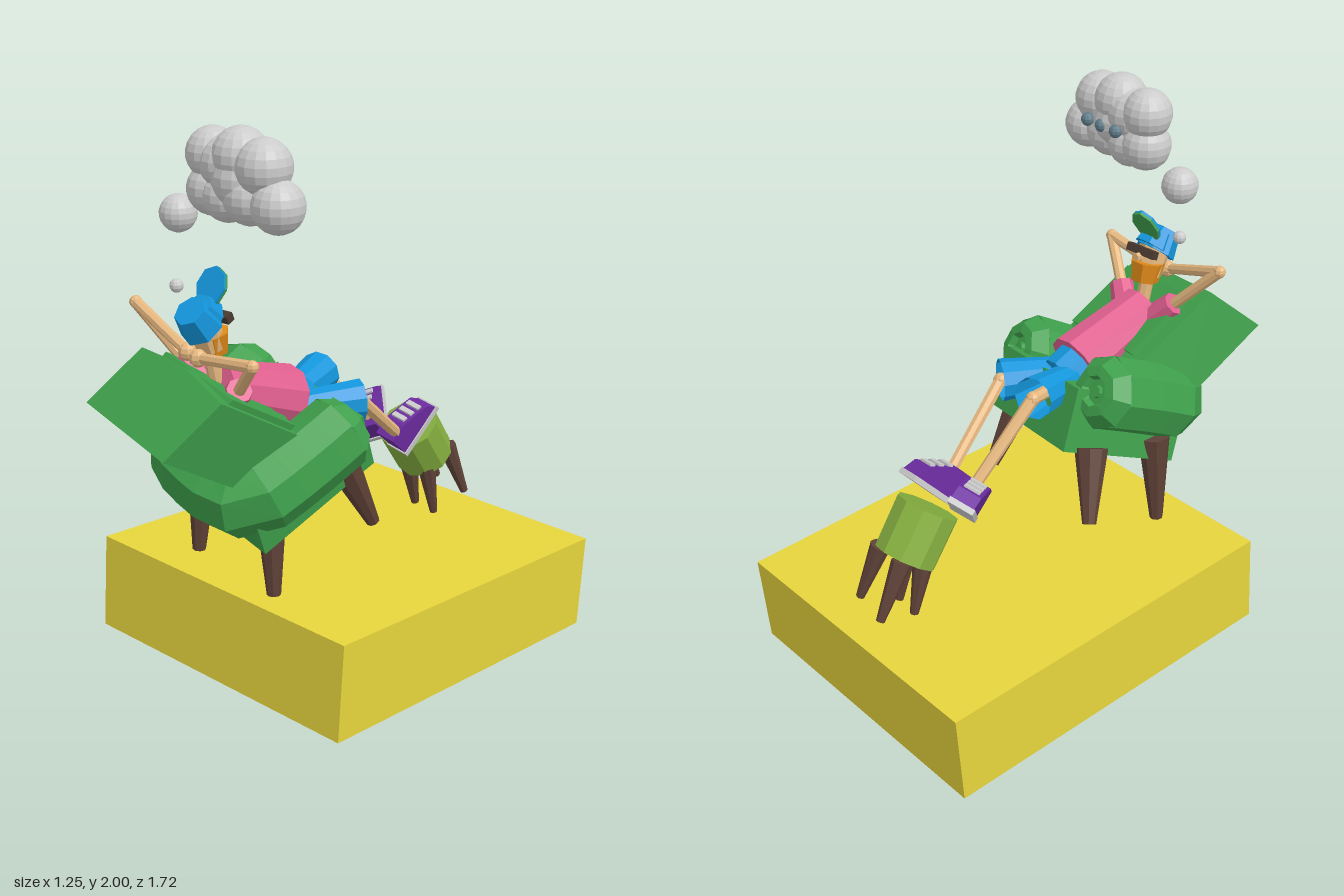
import * as THREE from 'three';

const C = {
  yellow: 0xe6d43c, green: 0x3fa04c, lime: 0x86b040, brown: 0x5f4238, blue: 0x1496dc, pink: 0xe0608f,
  purple: 0x6c2ca0, skin: 0xe6b880, orange: 0xe08a18, grey: 0xcccccc, slate: 0x607d8b, dark: 0x4a3a30,
};
const V = (a) => new THREE.Vector3(...a);

export function createModel() {
  const root = new THREE.Group();

  function add(name, geometry, color, open = false) {
    const material = new THREE.MeshStandardMaterial({ color, flatShading: true });
    if (open) material.side = THREE.DoubleSide;
    const mesh = new THREE.Mesh(geometry, material);
    mesh.name = name;
    root.add(mesh);
    return mesh;
  }

  // Tapered round bar from a to b
  function bar(name, color, a, b, ra, rb, sides = 8, open = false) {
    const p = V(a), d = V(b).sub(p);
    const g = new THREE.CylinderGeometry(rb, ra, d.length(), sides, 1, open);
    const mesh = add(name, g, color, open);
    mesh.position.copy(p).addScaledVector(d, 0.5);
    mesh.quaternion.setFromUnitVectors(new THREE.Vector3(0, 1, 0), d.normalize());
    return mesh;
  }

  // Slanted block given by its centre and three edge vectors
  function block(name, color, c, x, y, z, g = new THREE.BoxGeometry(1, 1, 1)) {
    const m = new THREE.Matrix4().makeBasis(V(x), V(y), V(z)).setPosition(...c);
    return add(name, g.applyMatrix4(m), color);
  }

  function ball(name, color, c, r, n = 16) {
    const mesh = add(name, new THREE.SphereGeometry(r, n, Math.round(n * 0.7)), color);
    mesh.position.set(...c);
    return mesh;
  }

  // Floor block
  block('floorBlock', C.yellow, [0, 0.225, -0.16], [1.13, -0.02, 0.07], [0.003, 0.342, -0.025], [-0.12, 0.08, 1.31]);

  // Armchair legs
  [
    [[-0.27, 0.8, 0.31], [-0.29, 0.45, 0.32]],
    [[0.1, 0.8, 0.39], [0.12, 0.435, 0.4]],
    [[-0.24, 0.86, 0.02], [-0.33, 0.64, -0.08]],
    [[0.2, 0.84, 0.13], [0.23, 0.59, 0]],
  ].forEach(([a, b]) => bar('chairLeg', C.brown, a, b, 0.058, 0.024));

  // Seat
  block('seat', C.green, [-0.02, 0.85, 0.24], [0.46, -0.06, 0.11], [0.02, 0.2, 0.09], [-0.1, -0.2, 0.45]);

  // Backrest with a slightly crowned top edge
  const back = new THREE.BoxGeometry(1, 1, 1, 2, 1, 1);
  const bp = back.attributes.position;
  for (let i = 0; i < bp.count; i++) {
    if (bp.getX(i) === 0 && bp.getY(i) > 0) bp.setXYZ(i, 0, 0.6, bp.getZ(i) - 0.12 * (bp.getZ(i) > 0 ? 0 : 1));
  }
  block('backrest', C.green, [-0.075, 1.055, 0.55], [0.44, -0.06, 0.11], [0.09, 0.16, -0.17], [-0.05, 0.2, 0.33], back);
  for (const s of [-1, 1]) {
    block('backCushion', C.green, [-0.02 + s * 0.1, 1.125 - s * 0.014, 0.475 + s * 0.026],
      [0.17, -0.024, 0.044], [0.025, 0.05, -0.045], [-0.04, 0.15, 0.25]);
  }

  // Arm bolster wrapping round the back, with scrolled ends
  const path = new THREE.CatmullRomCurve3([
    [-0.238, 1.055, 0.08], [-0.255, 0.97, 0.25], [-0.25, 0.88, 0.41], [-0.08, 0.83, 0.49],
    [0.1, 0.81, 0.5], [0.185, 0.9, 0.34], [0.235, 0.985, 0.19],
  ].map(V));
  add('armBolster', new THREE.TubeGeometry(path, 14, 0.13, 8, false), C.green, true);
  for (const [t, s] of [[0, -1], [1, 1]]) {
    const profile = [[0.13, 0], [0.09, 0.05], [0.055, 0.055], [0.045, 0.03], [0.022, 0.03], [0.02, 0.045], [0, 0.045]];
    const scroll = add('armScroll', new THREE.LatheGeometry(profile.map((p) => new THREE.Vector2(...p)), 8), C.green, true);
    scroll.position.copy(path.getPoint(t));
    scroll.quaternion.setFromUnitVectors(new THREE.Vector3(0, 1, 0), path.getTangent(t).multiplyScalar(s));
  }

  // Footstool
  bar('footstool', C.lime, [0.02, 0.595, -0.605], [0.02, 0.745, -0.495], 0.11, 0.112, 10);
  [
    [[-0.03, 0.63, -0.66], [-0.03, 0.44, -0.765]],
    [[0.09, 0.63, -0.65], [0.13, 0.43, -0.72]],
    [[-0.02, 0.57, -0.56], [-0.02, 0.38, -0.61]],
    [[0.07, 0.57, -0.55], [0.08, 0.375, -0.59]],
  ].forEach(([a, b]) => bar('footstoolLeg', C.brown, a, b, 0.036, 0.015));

  // Torso and hips
  const waist = [-0.02, 1.035, 0.17], chest = [-0.05, 1.15, 0.48];
  bar('torso', C.pink, waist, chest, 0.115, 0.09, 10);
  bar('hips', C.blue, [-0.01, 1.01, 0.09], [-0.025, 1.04, 0.2], 0.075, 0.1, 10);

  // Shorts, legs and shoes
  const shoeShape = new THREE.Shape([[0, 0], [0, 0.1], [0.07, 0.1], [0.18, 0.045], [0.2, 0]].map((p) => new THREE.Vector2(...p)));
  const legs = [
    { hip: [-0.04, 1.01, 0.14], knee: [-0.08, 1.04, -0.1], ankle: [-0.055, 0.79, -0.36], heel: [-0.05, 0.71, -0.39], toe: [-0.1, 0.13, -0.1] },
    { hip: [0.01, 1.0, 0.16], knee: [0.135, 1.0, -0.045], ankle: [0.085, 0.77, -0.34], heel: [0.06, 0.7, -0.37], toe: [0.04, 0.15, -0.13] },
  ];
  for (const { hip, knee, ankle, heel, toe } of legs) {
    bar('shorts', C.blue, hip, knee, 0.055, 0.075, 10, true);
    bar('thigh', C.skin, hip, knee, 0.023, 0.023);
    ball('knee', C.skin, knee, 0.026, 8);
    bar('shin', C.skin, knee, ankle, 0.023, 0.021);

    const t = V(toe).normalize();
    const side = t.clone().cross(V([0, 0.7, 0.7])).normalize();
    const up = side.clone().cross(t);
    const shoe = new THREE.Group();
    shoe.name = 'shoe';
    const upper = new THREE.ExtrudeGeometry(shoeShape, { depth: 0.085, bevelEnabled: false }).translate(0, 0, -0.0425);
    shoe.add(add('shoeUpper', upper, C.purple));
    shoe.add(add('sole', new THREE.BoxGeometry(0.21, 0.02, 0.095).translate(0.1, -0.01, 0), C.grey));
    for (const k of [0.2, 0.5, 0.8]) {
      const lace = add('lace', new THREE.BoxGeometry(0.02, 0.012, 0.06), C.grey);
      lace.position.set(0.07 + 0.11 * k, 0.102 - 0.055 * k, 0);
      lace.rotation.z = -0.46;
      shoe.add(lace);
    }
    shoe.quaternion.setFromRotationMatrix(new THREE.Matrix4().makeBasis(t, up, side));
    shoe.position.set(...heel);
    root.add(shoe);
  }

  // Arms folded behind the head
  const arms = [
    { shoulder: [-0.12, 1.15, 0.46], elbow: [-0.35, 1.39, 0.52], hand: [-0.08, 1.29, 0.57] },
    { shoulder: [0.04, 1.13, 0.49], elbow: [0.215, 1.31, 0.6], hand: [-0.03, 1.28, 0.575] },
  ];
  for (const { shoulder, elbow, hand } of arms) {
    const cuff = V(shoulder).lerp(V(elbow), 0.32).toArray();
    bar('sleeve', C.pink, shoulder, cuff, 0.05, 0.042, 8);
    bar('upperArm', C.skin, shoulder, elbow, 0.02, 0.02);
    ball('elbow', C.skin, elbow, 0.022, 8);
    bar('forearm', C.skin, elbow, hand, 0.02, 0.018);
    ball('hand', C.skin, hand, 0.03, 8);
  }

  // Neck, head and beard
  bar('neck', C.skin, [-0.05, 1.14, 0.465], [-0.055, 1.31, 0.5], 0.026, 0.024);
  bar('head', C.skin, [-0.055, 1.29, 0.49], [-0.055, 1.4, 0.535], 0.05, 0.058);
  bar('beard', C.orange, [-0.055, 1.27, 0.475], [-0.055, 1.34, 0.49], 0.05, 0.062, 7);
  bar('nose', C.skin, [-0.055, 1.37, 0.48], [-0.055, 1.375, 0.425], 0.018, 0.014, 6);
  const glasses = add('sunglasses', new THREE.BoxGeometry(0.12, 0.028, 0.03), C.dark);
  glasses.position.set(-0.055, 1.388, 0.46);
  glasses.rotation.x = 0.4;

  // Cap with a turned-up peak
  bar('capCrown', C.blue, [-0.055, 1.365, 0.525], [-0.055, 1.43, 0.58], 0.074, 0.055, 7);
  bar('capFront', C.blue, [-0.055, 1.39, 0.505], [-0.055, 1.435, 0.545], 0.064, 0.05, 7);
  for (const [name, color, dz] of [['capPeak', C.blue, 0], ['capPeakLining', C.green, -0.008]]) {
    const peak = add(name, new THREE.CylinderGeometry(0.06, 0.06, 0.009, 8).scale(0.95, 1, 1.1), color);
    peak.position.set(-0.06, 1.485 + dz * 0.5, 0.475 + dz);
    peak.rotation.x = Math.PI / 2 - 0.48;
  }

  // Thought cloud
  const puffs = [
    [-0.07, 1.9, 0.085], [0.06, 1.91, 0.092], [0.16, 1.89, 0.09], [-0.07, 1.79, 0.085], [0, 1.78, 0.085],
    [0.1, 1.79, 0.088], [0.22, 1.78, 0.085], [0, 1.88, 0.09], [0.06, 1.84, 0.095],
  ];
  puffs.forEach(([x, y, r]) => ball('cloudPuff', C.grey, [x, y, 0.45 + 0.12 * x], r));
  ball('thoughtBubble', C.grey, [-0.22, 1.69, 0.445], 0.062);
  ball('thoughtBubble', C.grey, [-0.185, 1.47, 0.5], 0.023, 10);
  [0, 0.07, 0.14].forEach((x) => ball('cloudDot', C.slate, [x, 1.84, 0.365 + 0.1 * x], 0.023, 10));

  return root;
}
